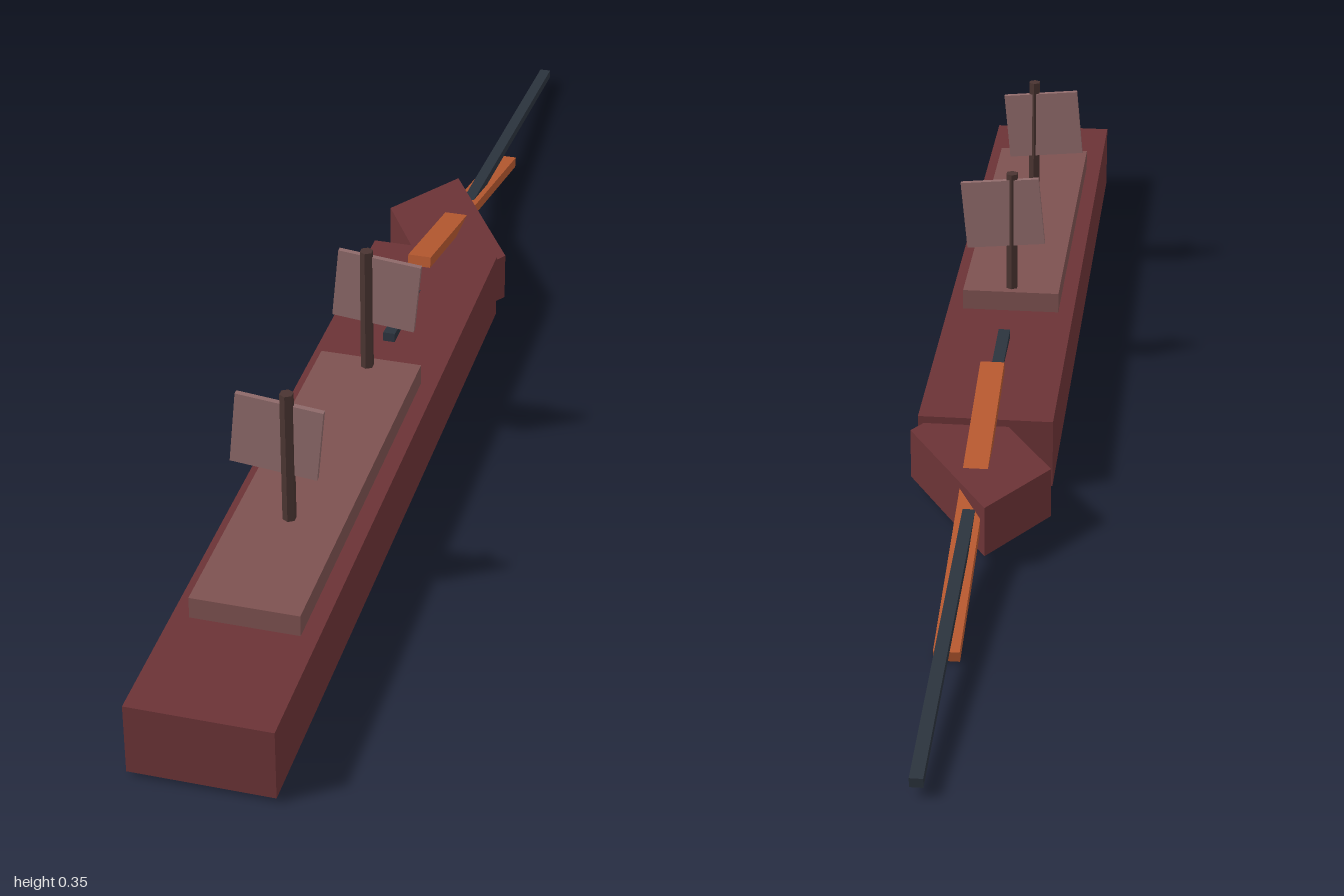
import * as THREE from 'three';

const mat = (color) => new THREE.MeshStandardMaterial({ color, flatShading: true });

export function createModel() {
  const model = new THREE.Group();
  const red = mat(0x6b3336), deckRed = mat(0x7d5150), sailPink = mat(0x8f6a6a);
  const wood = mat(0x4a3431), orange = mat(0xb5582f), slate = mat(0x2b333d);

  const add = (name, geometry, material, x, y, z) => {
    const mesh = new THREE.Mesh(geometry, material);
    mesh.name = name;
    mesh.position.set(x, y, z);
    model.add(mesh);
    return mesh;
  };
  const box = (name, w, h, d, material, x, y, z) =>
    add(name, new THREE.BoxGeometry(w, h, d), material, x, y, z);

  // Long hull with a raised deck
  box('hull', 0.2, 0.106, 1.19, red, 0, 0.06, 0.405);
  box('deck', 0.152, 0.034, 0.615, deckRed, 0, 0.128, 0.5);

  // Skewed end block, a parallelogram seen from above (shape y is -z)
  const outline = [[-0.025, 0.44], [-0.108, 0.315], [0.025, 0.09], [0.108, 0.215]];
  const shape = new THREE.Shape(outline.map(([x, y]) => new THREE.Vector2(x, y)));
  const prism = new THREE.ExtrudeGeometry(shape, { depth: 0.077, bevelEnabled: false });
  prism.rotateX(-Math.PI / 2);
  add('endBlock', prism, red, 0, 0.025, 0);

  // Two masts, each with a slightly tilted square sail
  for (const [z, top, sailX] of [[0.605, 0.347, -0.016], [0.213, 0.34, 0.014]]) {
    const bottom = 0.13;
    add('mast', new THREE.CylinderGeometry(0.0098, 0.0098, top - bottom, 6), wood,
      0, (top + bottom) / 2, z);
    const sail = box('sail', 0.123, 0.11, 0.008, sailPink, sailX, 0.274, z - 0.004);
    sail.rotation.z = -0.095;
  }

  // Sloping spars running through the end block
  box('broadSpar', 0.036, 0.017, 0.613, orange, 0, 0.079, -0.385).rotation.x = -0.232;
  box('longSpar', 0.018, 0.014, 1.098, slate, 0, 0.071, -0.454).rotation.x = -0.089;

  return model;
}
